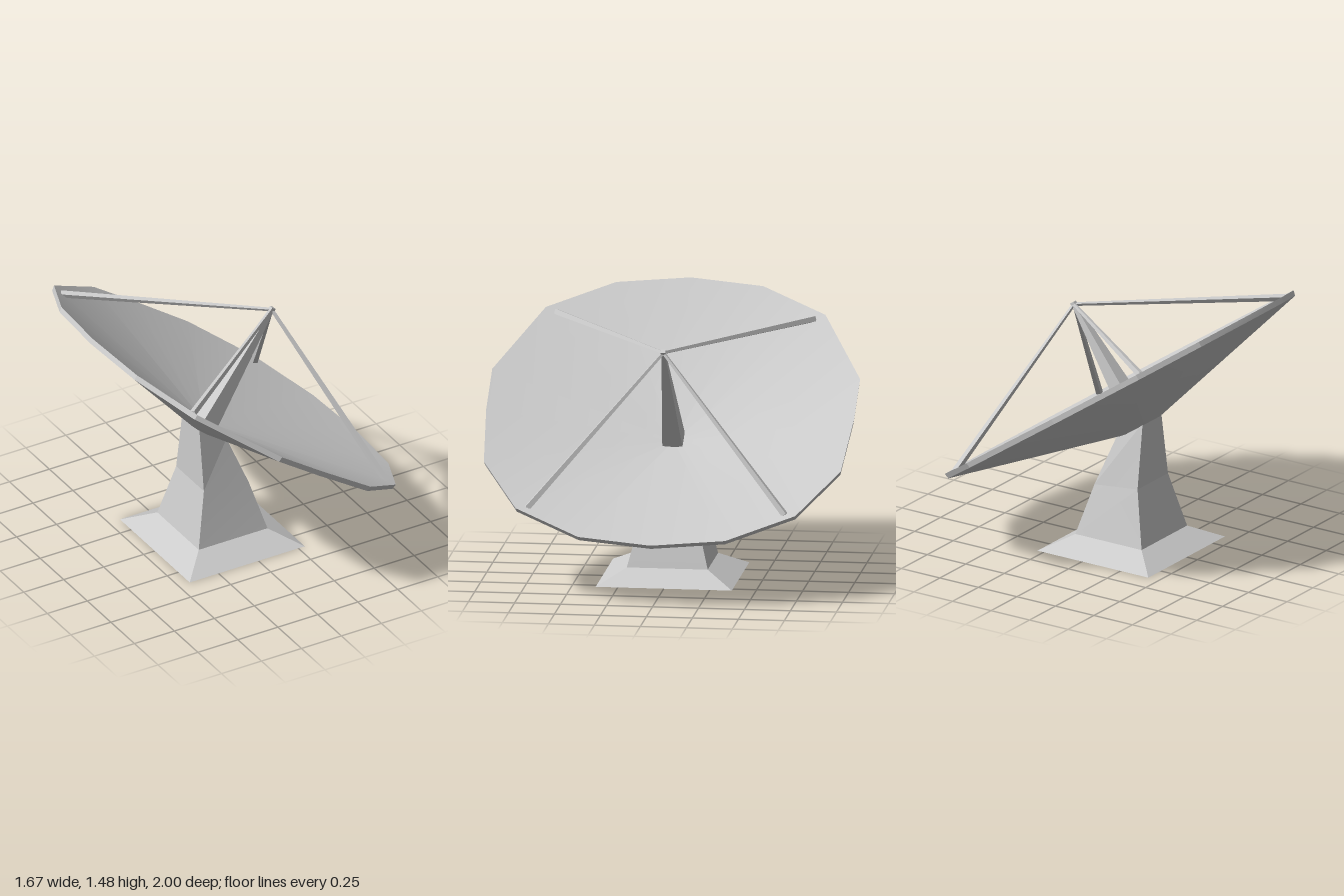
import * as THREE from 'three';
import { toCreasedNormals } from 'three/addons/utils/BufferGeometryUtils.js';

const material = new THREE.MeshStandardMaterial({ color: 0xcccccc, side: THREE.DoubleSide });

function addMesh(parent, name, geometry) {
  const mesh = new THREE.Mesh(geometry, material);
  mesh.name = name;
  parent.add(mesh);
  return mesh;
}

// Skin over a list of rings, each a loop of [x, y, z] points
function loft(rings, crease) {
  const positions = [];
  const n = rings[0].length;
  for (let i = 0; i < rings.length - 1; i++) {
    for (let j = 0; j < n; j++) {
      const k = (j + 1) % n;
      const a = rings[i][j], b = rings[i][k], c = rings[i + 1][k], d = rings[i + 1][j];
      positions.push(...a, ...d, ...b, ...b, ...d, ...c);
    }
  }
  const geometry = new THREE.BufferGeometry();
  geometry.setAttribute('position', new THREE.Float32BufferAttribute(positions, 3));
  return toCreasedNormals(geometry, crease);
}

// Square section; its right and left edges may sit at different heights
const section = (xl, yl, xr, yr, z) => [[xr, yr, -z], [xr, yr, z], [xl, yl, z], [xl, yl, -z]];

// Tapered four-sided bar between two points
function bar(parent, name, from, to, r0, r1) {
  const dir = to.clone().sub(from);
  const geometry = new THREE.CylinderGeometry(r1, r0, dir.length(), 4).rotateY(Math.PI / 4).toNonIndexed();
  geometry.computeVertexNormals();
  const mesh = addMesh(parent, name, geometry);
  mesh.position.copy(from).addScaledVector(dir, 0.5);
  mesh.quaternion.setFromUnitVectors(new THREE.Vector3(0, 1, 0), dir.normalize());
}

export function createModel() {
  const model = new THREE.Group();
  model.name = 'dishAntenna';

  // Pedestal: hollow, open underneath, leaning into the dish hub
  const skirtTop = section(-0.285, 0.08, 0.145, 0.08, 0.22);
  addMesh(model, 'baseSkirt', loft([section(-0.43, 0, 0.29, 0, 0.37), skirtTop], 0.1));
  addMesh(model, 'pedestal', loft([
    skirtTop,
    section(-0.21, 0.39, 0.07, 0.36, 0.147),
    section(-0.205, 0.755, -0.035, 0.638, 0.09),
  ], 0.1));

  // Everything on the dish shares its tilted frame (local y is the dish axis)
  const dish = new THREE.Group();
  dish.name = 'dishAssembly';
  dish.position.set(0, 0.904, 0);
  dish.rotation.z = -0.595;
  model.add(dish);

  // Half of the rim outline, mirrored across z
  const half = [[1, 0], [0.95, 0.4], [0.75, 0.76], [0.41, 0.97], [0.02, 1],
    [-0.28, 1], [-0.75, 0.76], [-0.95, 0.4], [-1, 0]];
  const outline = [...half, ...half.slice(1, -1).reverse().map(([x, z]) => [x, -z])];
  const ring = (scale, y) => outline.map(([x, z]) => [x * scale, y, z * scale]);

  // Flat hub, conical back, thin rim, conical bowl
  addMesh(dish, 'reflector', loft([
    ring(0, -0.25), ring(0.105, -0.25), ring(0.995, -0.015), ring(1, 0.015), ring(0, -0.215),
  ], 0.35));

  // Feed horn, receiver and its four struts
  const focus = new THREE.Vector3(0.025, 0.5, 0);
  bar(dish, 'feedHorn', new THREE.Vector3(0, -0.225, 0), focus, 0.08, 0.014);
  addMesh(dish, 'receiver', new THREE.BoxGeometry(0.026, 0.026, 0.026)).position.copy(focus);
  for (const sx of [-1, 1]) {
    for (const sz of [-1, 1]) {
      bar(dish, 'strut', new THREE.Vector3(sx * 0.73, 0, sz * 0.7), focus, 0.02, 0.01);
    }
  }
  return model;
}
